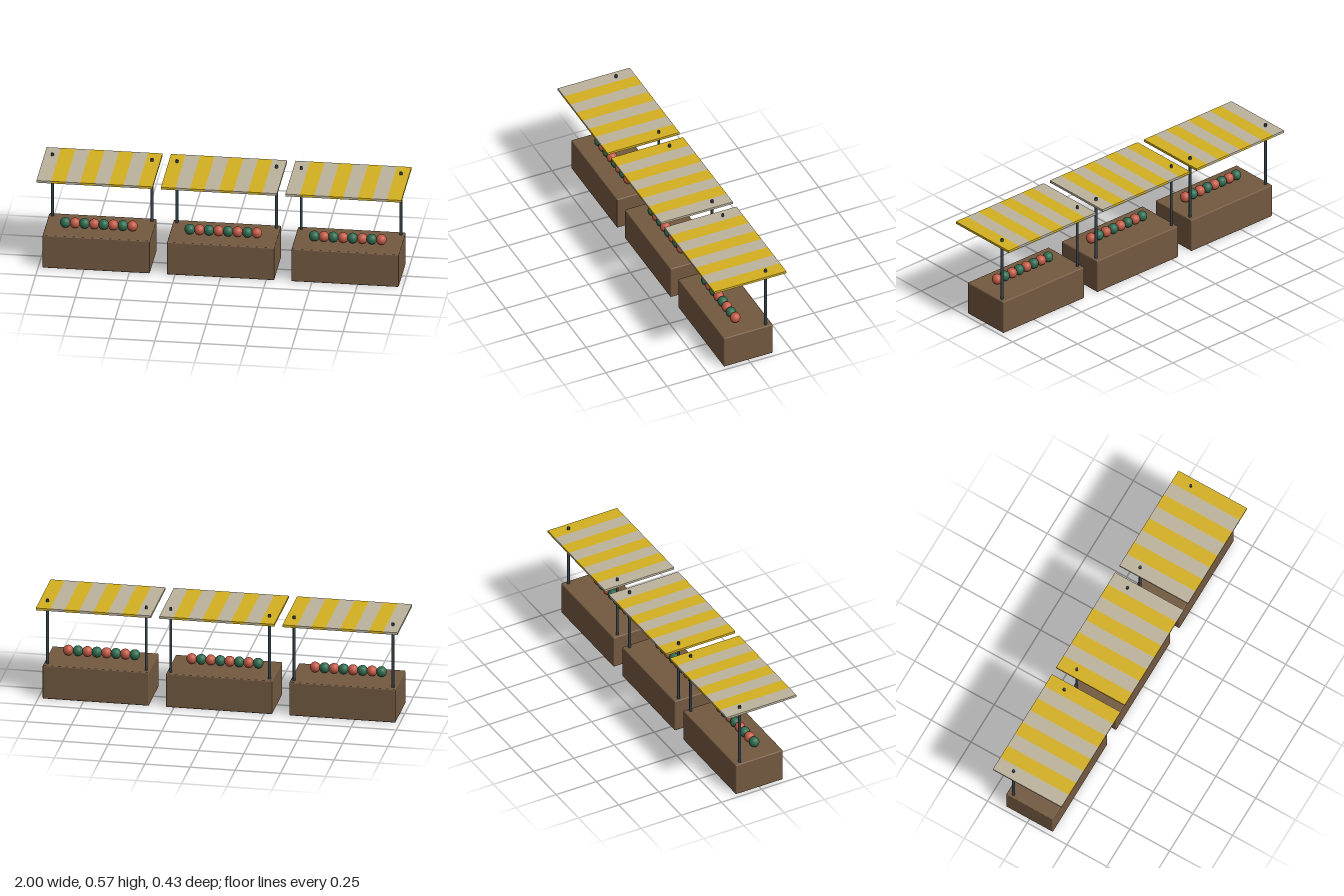
import * as THREE from 'three';
import { RoundedBoxGeometry } from 'three/addons/geometries/RoundedBoxGeometry.js';

const paint = (color) => new THREE.MeshStandardMaterial({ color });

export function createModel() {
  const wood = paint(0x735940);
  const metal = paint(0x36454d);
  const fruit = [paint(0x2f6b4f), paint(0xc25a45)];
  const cloth = [paint(0xbdb39c), paint(0xd4b020)];

  const stripes = 8, stripeWidth = 0.0795;
  const counterGeo = new RoundedBoxGeometry(0.588, 0.194, 0.294, 3, 0.006);
  const postGeo = new THREE.CylinderGeometry(0.0078, 0.0078, 0.38, 12);
  const stripeGeo = new THREE.BoxGeometry(stripeWidth, 0.013, 0.432);
  const ballGeo = new THREE.SphereGeometry(0.029, 24, 16);

  function add(parent, name, geometry, material, x, y, z) {
    const mesh = new THREE.Mesh(geometry, material);
    mesh.name = name;
    mesh.position.set(x, y, z);
    parent.add(mesh);
  }

  function createStall(firstStripe) {
    const stall = new THREE.Group();
    stall.name = 'marketStall';
    add(stall, 'counter', counterGeo, wood, 0, 0.097, 0);

    // Two rear posts pass through the awning
    for (const side of [-1, 1]) {
      add(stall, side > 0 ? 'leftPost' : 'rightPost', postGeo, metal, side * 0.273, 0.38, -0.1125);
    }

    // Flat awning of alternating stripes
    const awning = new THREE.Group();
    awning.name = 'awning';
    for (let i = 0; i < stripes; i++) {
      const x = (i - (stripes - 1) / 2) * stripeWidth;
      add(awning, 'awningStripe', stripeGeo, cloth[(i + firstStripe) % 2], x, 0.548, 0);
    }
    stall.add(awning);

    // Row of produce on the counter
    const produce = new THREE.Group();
    produce.name = 'produce';
    for (let i = 0; i < 8; i++) {
      add(produce, 'fruit', ballGeo, fruit[i % 2], (i - 3.5) * 0.0525, 0.2245, 0.028);
    }
    stall.add(produce);
    return stall;
  }

  // Three stalls in a row, the middle one with its stripes swapped
  const model = new THREE.Group();
  model.name = 'marketStalls';
  for (let i = 0; i < 3; i++) {
    const stall = createStall(i % 2);
    stall.position.x = (i - 1) * 0.682;
    model.add(stall);
  }
  return model;
}
